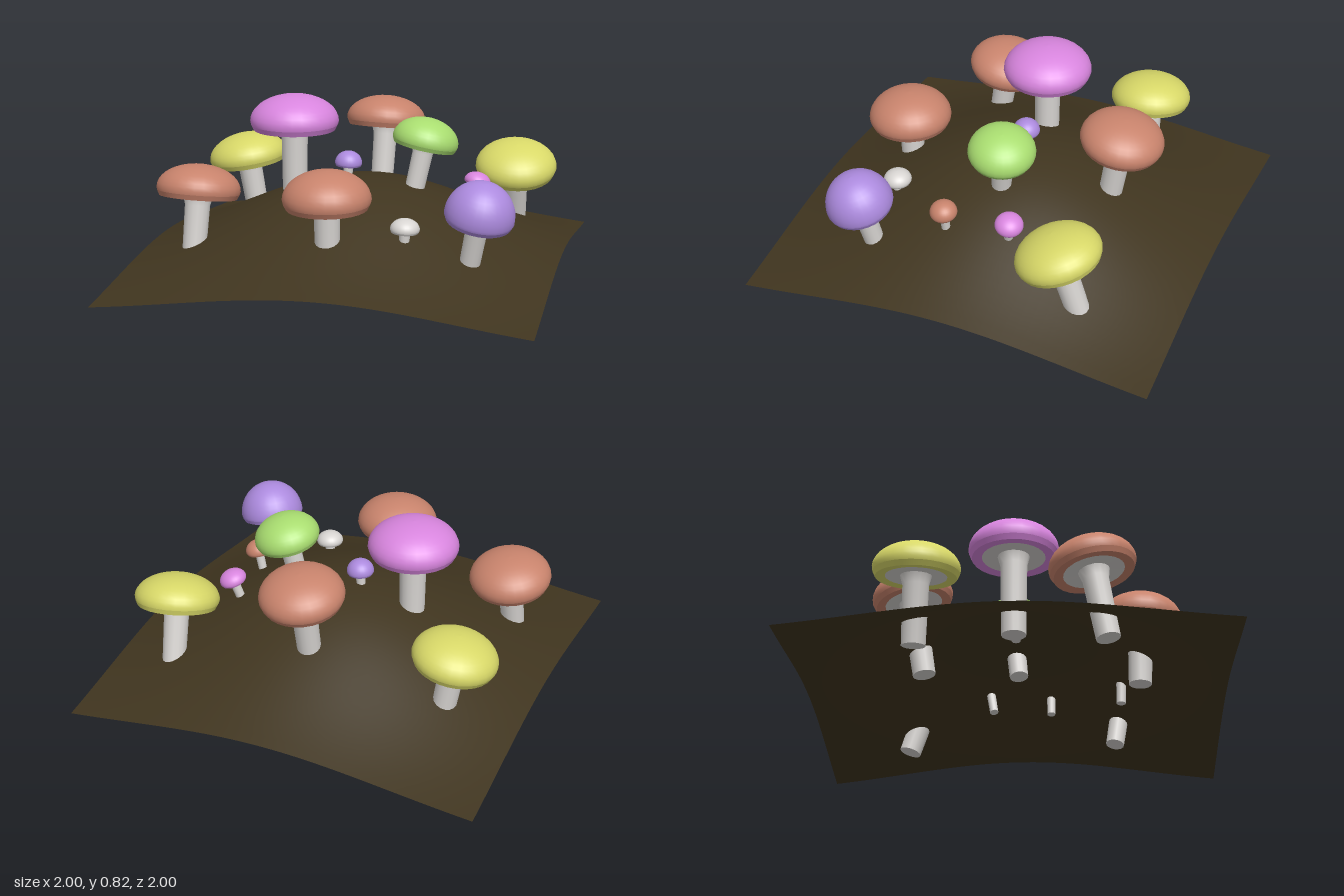
import * as THREE from 'three';

const mat = (name, color, side = THREE.FrontSide) => {
  const m = new THREE.MeshStandardMaterial({ color, side });
  m.name = name;
  return m;
};

// Height of the soil mound
const height = (x, z) => 0.473 * Math.exp(-1.197 * ((x - 0.03) ** 2 + z * z)) - 0.039;

function lathe(name, points, segments, material) {
  const mesh = new THREE.Mesh(
    new THREE.LatheGeometry(points.map(([r, y]) => new THREE.Vector2(r, y)), segments), material);
  mesh.name = name;
  return mesh;
}

// One mushroom: origin at the centre of the cap's crease, leaning along its stem
function mushroom({ name, at, lean, R, dome, stem, base, cap, white }) {
  const g = new THREE.Group();
  g.name = name;
  const axis = new THREE.Vector3(lean[0], 1, lean[1]).normalize();
  g.position.set(...at);
  g.quaternion.setFromUnitVectors(new THREE.Vector3(0, 1, 0), axis);
  const length = (at[1] - base) / axis.y;

  // Domed cap top
  const top = [[R * 0.98, 0]];
  for (let i = 0; i <= 10; i++) {
    const t = (i / 10) * Math.PI / 2;
    top.push([Math.max(R * Math.cos(t), 0), R * 0.08 + (dome - R * 0.08) * Math.sin(t)]);
  }
  g.add(lathe('capDome', top, 28, cap));
  // Tapered rim, lip and pale gills
  g.add(lathe('capRim', [[R * 0.92, -R * 0.12], [R * 0.98, 0]], 28, cap));
  g.add(lathe('capLip', [[R * 0.7, -R * 0.1], [R * 0.92, -R * 0.12]], 28, cap));
  g.add(lathe('gills', [[0, -R * 0.05], [R * 0.7, -R * 0.1]], 28, white));
  // Stem with a flared collar and closed foot
  g.add(lathe('stem', [
    [stem * 0.92, -length], [stem, -R * 0.3], [stem * 1.2, -R * 0.08],
  ], 16, white));
  const foot = new THREE.Mesh(new THREE.CircleGeometry(stem * 0.92, 16), white);
  foot.name = 'stemFoot';
  foot.rotation.x = Math.PI / 2;
  foot.position.y = -length;
  g.add(foot);
  return g;
}

export function createModel() {
  const model = new THREE.Group();
  model.name = 'mushroomPatch';
  const soil = mat('soil', 0x40351f, THREE.DoubleSide);
  const white = mat('paleStem', 0xd8d5d2);
  const orange = mat('terracotta', 0xc8836c);
  const pink = mat('pink', 0xd885de);
  const yellow = mat('yellow', 0xd8d868);
  const green = mat('green', 0xa9dd70);
  const purple = mat('purple', 0xac8ade);

  // Curved sheet of ground
  const geo = new THREE.PlaneGeometry(2, 2, 40, 40).rotateX(-Math.PI / 2);
  const p = geo.attributes.position;
  for (let i = 0; i < p.count; i++) p.setY(i, height(p.getX(i), p.getZ(i)));
  geo.computeVertexNormals();
  const ground = new THREE.Mesh(geo, soil);
  ground.name = 'ground';
  model.add(ground);

  // name, cap centre, lean (x, z), cap radius, dome height, stem radius, foot height, colour
  const list = [
    ['frontMushroom', [0, 0.445, 0.6], [0, 0.03], 0.203, 0.15, 0.06, 0.13, orange],
    ['frontRightMushroom', [-0.69, 0.4, 0.37], [0.04, -0.17], 0.2, 0.135, 0.06, 0.05, orange],
    ['backMushroom', [0.02, 0.605, -0.51], [0.03, -0.16], 0.2, 0.135, 0.06, 0.2, orange],
    ['tallMushroom', [-0.32, 0.675, 0], [0, 0], 0.216, 0.147, 0.064, 0.25, pink],
    ['greenMushroom', [0.32, 0.605, -0.03], [0.2, -0.1], 0.16, 0.125, 0.05, 0.29, green],
    ['purpleMushroom', [0.68, 0.395, 0.53], [0.2, 0.16], 0.16, 0.175, 0.05, 0.06, purple],
    ['backLeftMushroom', [0.7, 0.405, -0.47], [0.05, 0.31], 0.203, 0.135, 0.06, 0.06, yellow],
    ['backRightMushroom', [-0.69, 0.395, -0.42], [-0.16, 0.03], 0.2, 0.135, 0.06, 0.06, yellow],
    ['smallWhiteMushroom', [0.34, 0.315, 0.51], [0.05, 0.03], 0.068, 0.055, 0.025, 0.17, white],
    ['smallPinkMushroom', [0.555, 0.39, -0.165], [0.3, -0.16], 0.067, 0.055, 0.023, 0.2, pink],
    ['smallOrangeMushroom', [0.575, 0.385, 0.155], [0.2, 0], 0.065, 0.06, 0.022, 0.2, orange],
    ['smallPurpleMushroom', [-0.05, 0.49, 0], [0.05, 0], 0.066, 0.065, 0.023, 0.34, purple],
  ];
  for (const [name, at, lean, R, dome, stem, base, cap] of list)
    model.add(mushroom({ name, at, lean, R, dome, stem, base, cap, white }));
  return model;
}
